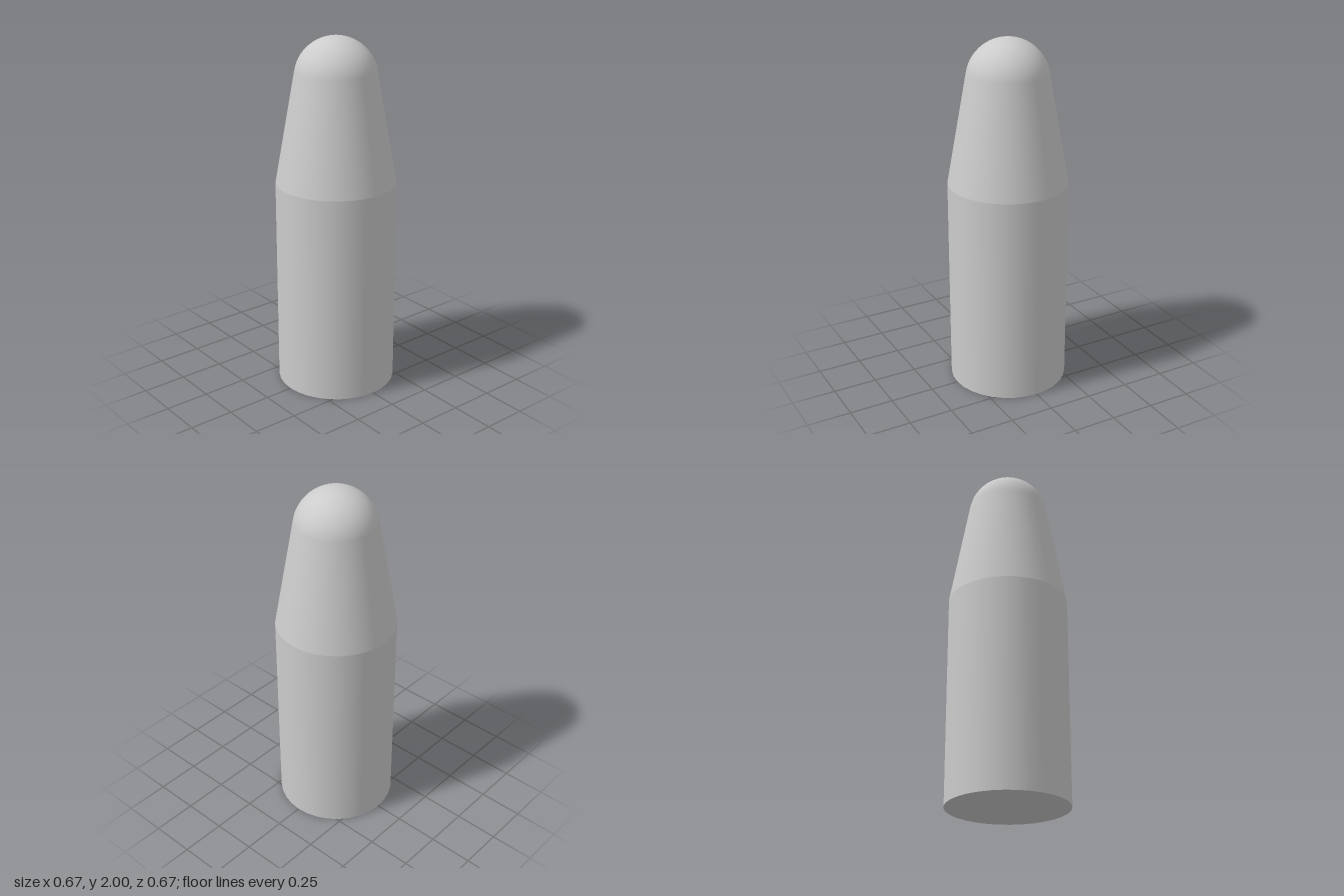
import * as THREE from 'three';

const SIDES = 32;
const RADIUS = 0.336;       // body radius
const SHOULDER = 1.19;      // height where the taper begins
const DOME = 0.2285;        // dome radius
const LEAN = 0.176;         // taper angle, tangent to the dome

export function createModel() {
  const group = new THREE.Group();
  const material = new THREE.MeshStandardMaterial({ color: 0xcccccc });
  const add = (name, geometry) => {
    const mesh = new THREE.Mesh(geometry, material);
    mesh.name = name;
    group.add(mesh);
    return mesh;
  };

  // Straight cylindrical body
  const body = add('body', new THREE.CylinderGeometry(RADIUS, RADIUS, SHOULDER, SIDES, 1, true));
  body.position.y = SHOULDER / 2;

  // Flat base
  const base = add('base', new THREE.CircleGeometry(RADIUS, SIDES));
  base.rotation.x = Math.PI / 2;

  // Tapered nose flowing smoothly into a round tip
  const profile = [new THREE.Vector2(RADIUS, SHOULDER)];
  const steps = 14;
  for (let i = 0; i <= steps; i++) {
    const a = LEAN + (Math.PI / 2 - LEAN) * (i / steps);
    const r = i === steps ? 0 : DOME * Math.cos(a);
    profile.push(new THREE.Vector2(r, 2 - DOME + DOME * Math.sin(a)));
  }
  add('nose', new THREE.LatheGeometry(profile, SIDES));

  return group;
}
